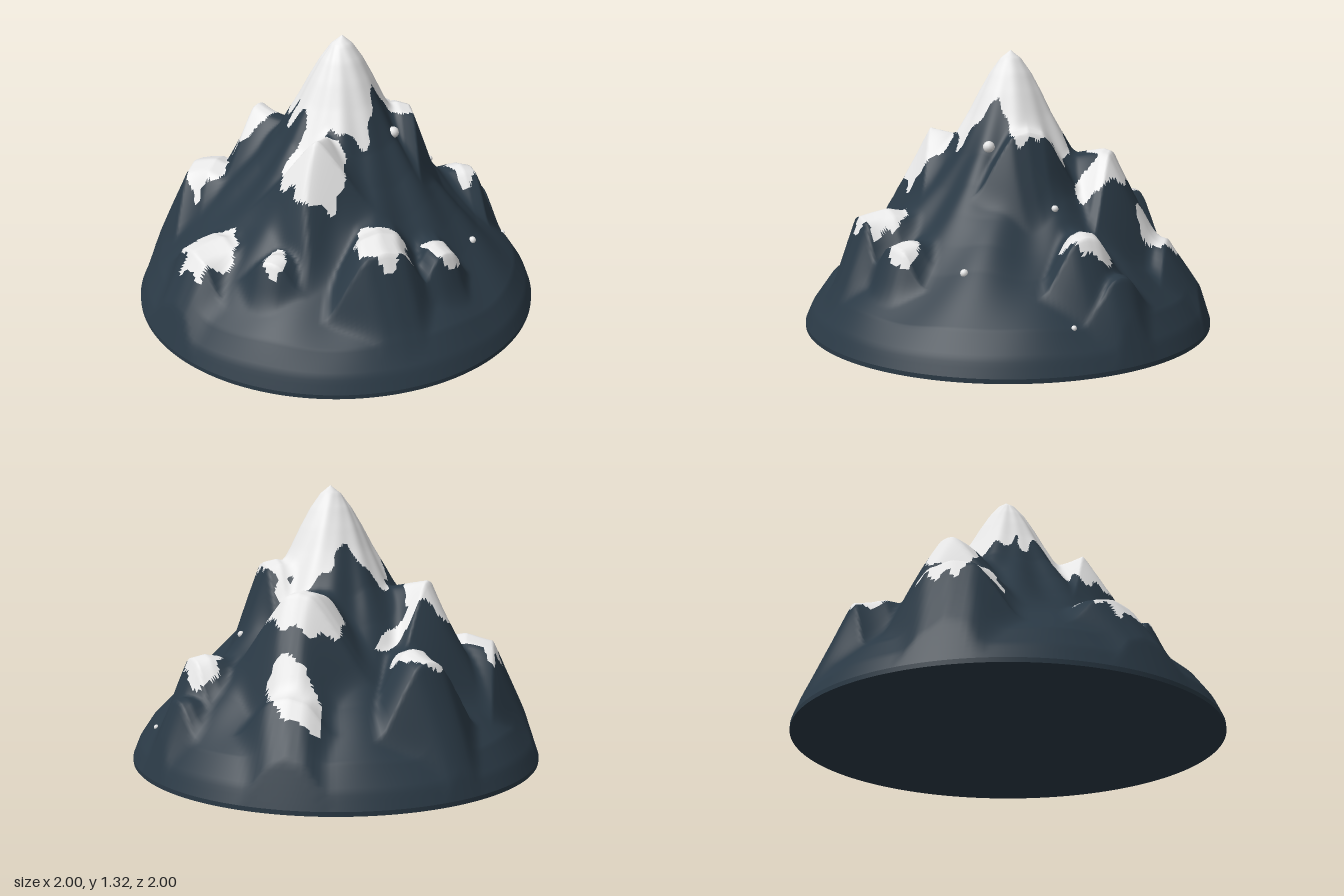
import * as THREE from 'three';

const RINGS = 120, SEGS = 240, APEX_X = 0.03;

// Cone profile: radius, height
const PROFILE = [[0, 1.32], [0.05, 1.28], [0.1, 1.21], [0.15, 1.12], [0.2, 1.02], [0.3, 0.84], [0.4, 0.7], [0.5, 0.58],
  [0.6, 0.47], [0.7, 0.37], [0.8, 0.28], [0.9, 0.19], [0.97, 0.09], [1, 0.02]];

// Outlying summits: x, z, height, length and half width of the top, outer slope, side slope
const SUMMITS = [
  [0.3, 0.04, 0.97, 0.06, 0.07, 2.6, 1.8], [-0.2, 0.33, 0.94, 0.0, 0.0, 1.8, 1.4],
  [-0.43, 0.5, 0.49, 0.06, 0.04, 2.4, 1.6], [0.0, 0.62, 0.59, 0.13, 0.08, 2.4, 1.8],
  [0.28, 0.61, 0.49, 0.08, 0.05, 2.6, 1.8], [-0.62, 0.2, 0.46, 0.15, 0.09, 1.6, 1.3],
  [-0.53, -0.36, 0.61, 0.13, 0.1, 2.2, 1.7], [-0.29, -0.38, 0.88, 0.01, 0.03, 1.8, 1.4],
  [0.33, -0.35, 0.86, 0.04, 0.05, 1.9, 1.5], [-0.07, -0.64, 0.61, 0.14, 0.05, 2.5, 1.7],
  [0.44, -0.53, 0.46, 0.1, 0.08, 1.5, 1.5], [0.69, -0.04, 0.55, 0.06, 0.05, 2.2, 1.7],
  [0.82, -0.14, 0.38, 0.04, 0.04, 2.4, 1.5],
];

// Snow patches: x, z, half width, half depth, turn
const PATCHES = [
  [0.315, 0.04, 0.06, 0.11, 0], [-0.2, 0.32, 0.14, 0.13, 0], [-0.2, 0.2, 0.11, 0.06, 0],
  [-0.45, 0.51, 0.05, 0.07, 0.4], [0.01, 0.65, 0.12, 0.12, 0], [0.3, 0.64, 0.09, 0.06, 0.6],
  [-0.69, 0.23, 0.13, 0.13, 0], [-0.58, -0.38, 0.11, 0.17, 0.1], [-0.31, -0.37, 0.13, 0.11, -0.3],
  [-0.1, -0.45, 0.14, 0.03, -0.2], [0.3, -0.39, 0.14, 0.1, 0.2], [0.42, -0.26, 0.06, 0.11, 0],
  [-0.07, -0.68, 0.08, 0.12, -0.4], [0.48, -0.57, 0.08, 0.15, -0.5], [0.71, -0.05, 0.08, 0.11, 0],
];

// Reach of the summit snow at even angles, from +x round through +z
const CAP = [0.32, 0.26, 0.14, 0.2, 0.28, 0.26, 0.23, 0.25, 0.24, 0.23, 0.27, 0.31, 0.19, 0.21, 0.3, 0.31];

const smoothMax = (a, b, k) => {
  const h = Math.max(k - Math.abs(a - b), 0) / k;
  return Math.max(a, b) + h * h * k / 4;
};

function profileHeight(r) {
  let i = 1;
  while (i < PROFILE.length - 1 && r > PROFILE[i][0]) i++;
  const [r0, y0] = PROFILE[i - 1], [r1, y1] = PROFILE[i];
  return y0 + (y1 - y0) * Math.min((r - r0) / (r1 - r0), 1);
}

function heightAt(x, z) {
  // Undo the slight lean of the apex
  let r = Math.hypot(x, z);
  for (let i = 0; i < 4; i++) r = Math.min(1, Math.hypot(x - APEX_X * (1 - r), z));
  const a = Math.atan2(z, x);
  let y = profileHeight(r);
  // Gullies fading at the apex and rim
  const fade = r * (1 - r) * 4 * Math.min(1, r * 3);
  y += fade * (0.018 * Math.sin(a * 7 + r * 5) + 0.01 * Math.sin(a * 13 - r * 9));
  // Each summit is a ridge that runs back to the main peak
  for (const [px, pz, py, flat, half, outer, side] of SUMMITS) {
    const d = Math.hypot(px, pz), ux = px / d, uz = pz / d;
    const s = x * ux + z * uz - d;
    const t = Math.abs(x * uz - z * ux + 0.02 * Math.sin(s * 16));
    if (s < -d) continue;
    const along = s > 0 ? 0.25 * Math.min(s, flat) + outer * Math.max(s - flat, 0) : -0.2 * s;
    const edge = Math.max(t - half, 0);
    const across = 0.25 * Math.min(t, half) + side * edge * (edge + 0.01) / (edge + 0.04);
    y = smoothMax(y, py - along - across, 0.05);
  }
  // Keep the foot inside the round rim
  return Math.min(y, 0.02 + (1 - r) * 3);
}

function isSnow(x, z) {
  const a = Math.atan2(z, x - APEX_X);
  const ragged = 0.1 * Math.sin(x * 47 + z * 19) + 0.09 * Math.sin(z * 59 - x * 31);
  const f = ((a / (Math.PI * 2) + 1) % 1) * CAP.length;
  const i = Math.floor(f), w = f - i;
  const reach = CAP[i % CAP.length] * (1 - w) + CAP[(i + 1) % CAP.length] * w;
  if (Math.hypot(x - APEX_X, z) < reach * (1 + ragged * 0.8)) return true;
  return PATCHES.some(([px, pz, w2, d2, turn]) => {
    const c = Math.cos(turn), s = Math.sin(turn), dx = x - px, dz = z - pz;
    return Math.hypot((dx * c + dz * s) / w2, (dz * c - dx * s) / d2) < 1 + ragged;
  });
}

// Round height field, split into rock and snow faces
function mountainGeometry() {
  const pos = [], rock = [], snow = [];
  for (let i = 0; i <= RINGS; i++) {
    const r = i / RINGS;
    for (let j = 0; j < SEGS; j++) {
      const a = j / SEGS * Math.PI * 2;
      const x = r * Math.cos(a) + APEX_X * (1 - r), z = r * Math.sin(a);
      pos.push(x, heightAt(x, z), z);
    }
  }
  const addFace = (...f) => {
    const x = f.reduce((sum, v) => sum + pos[v * 3], 0) / 3;
    const z = f.reduce((sum, v) => sum + pos[v * 3 + 2], 0) / 3;
    (isSnow(x, z) ? snow : rock).push(...f);
  };
  for (let i = 0; i < RINGS; i++) {
    for (let j = 0; j < SEGS; j++) {
      const k = (j + 1) % SEGS;
      const a = i * SEGS + j, d = i * SEGS + k, b = a + SEGS, c = d + SEGS;
      addFace(a, c, b);
      if (i > 0) addFace(a, d, c);
    }
  }
  const geo = new THREE.BufferGeometry();
  geo.setAttribute('position', new THREE.Float32BufferAttribute(pos, 3));
  geo.setIndex(rock.concat(snow));
  geo.addGroup(0, rock.length, 0);
  geo.addGroup(rock.length, snow.length, 1);
  geo.computeVertexNormals();
  return geo;
}

export function createModel() {
  const rock = new THREE.MeshStandardMaterial({ color: 0x2a3945 });
  rock.name = 'slate rock';
  const snow = new THREE.MeshStandardMaterial({ color: 0xe8e8e8 });
  snow.name = 'snow';

  const model = new THREE.Group();
  model.name = 'mountain';
  const add = (name, geo, mat, x = 0, y = 0, z = 0) => {
    const mesh = new THREE.Mesh(geo, mat);
    mesh.name = name;
    mesh.position.set(x, y, z);
    model.add(mesh);
    return mesh;
  };

  add('slopes', mountainGeometry(), [rock, snow]);
  // Low rim wall and underside
  add('rim', new THREE.CylinderGeometry(1, 1, 0.02, SEGS, 1, true), rock, 0, 0.01, 0);
  add('underside', new THREE.CircleGeometry(1, SEGS), rock).rotation.x = Math.PI / 2;

  // Loose snow lumps
  for (const [x, z, size] of [[0.22, 0.2, 0.028], [0.54, 0.46, 0.018], [0.89, 0.11, 0.012], [0.5, 0.0, 0.016]]) {
    add('snowLump', new THREE.SphereGeometry(size, 12, 8), snow, x, heightAt(x, z), z);
  }
  return model;
}
